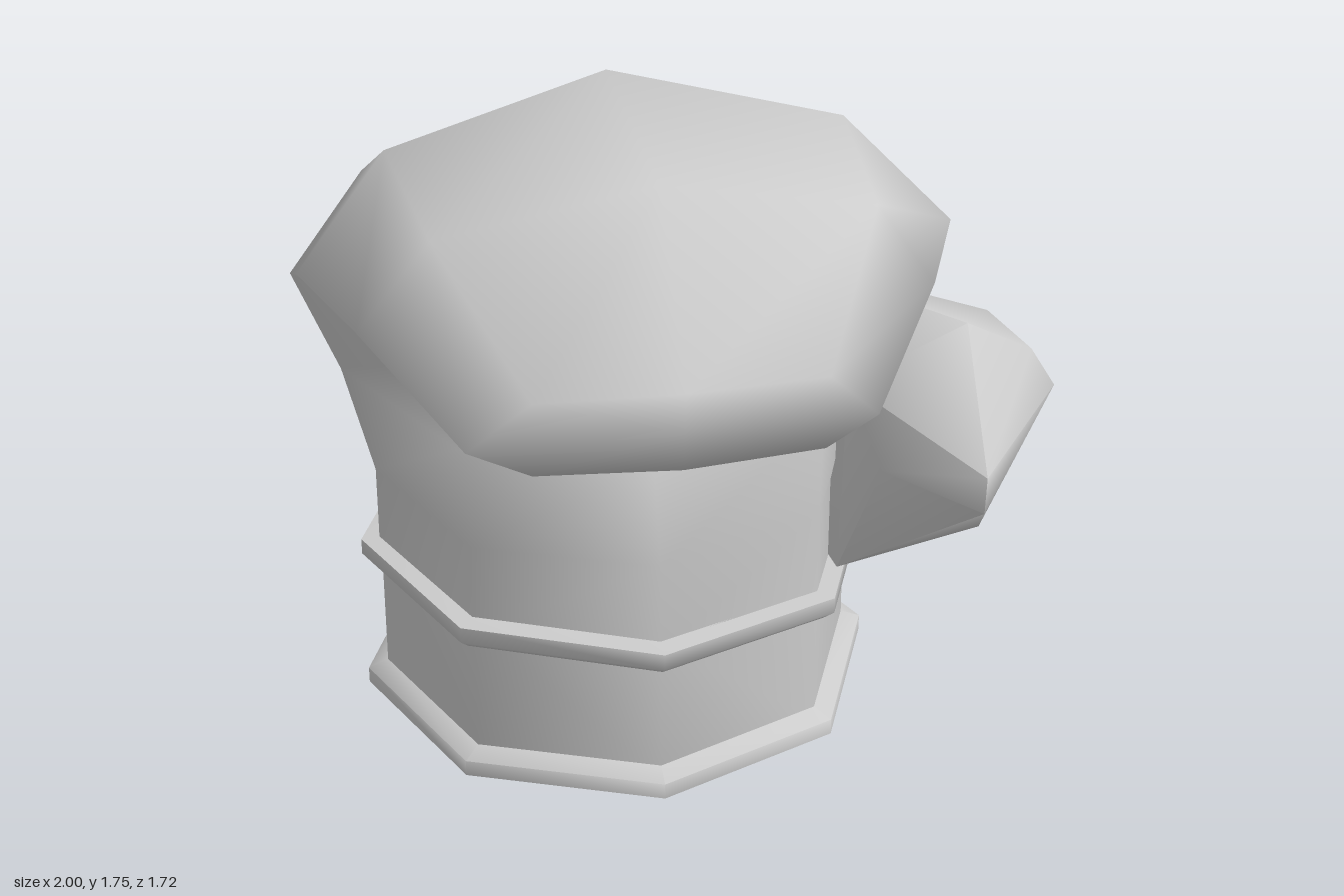
import * as THREE from 'three';
import { mergeVertices, toCreasedNormals } from 'three/addons/utils/BufferGeometryUtils.js';
import { ConvexGeometry } from 'three/addons/geometries/ConvexGeometry.js';

const CX = -0.14, CZ = -0.12; // axis of the cuff
const material = new THREE.MeshStandardMaterial({ color: 0xcccccc, side: THREE.DoubleSide });

function addMesh(group, name, geometry) {
  const mesh = new THREE.Mesh(geometry, material);
  mesh.name = name;
  group.add(mesh);
}

// Eight-sided ring or wall; dip lowers the corner beneath the thumb
function octagon(profile, dip = 0) {
  const geo = new THREE.LatheGeometry(profile.map(([r, y]) => new THREE.Vector2(r, y)), 8);
  const p = geo.attributes.position;
  for (let i = 0; i < p.count; i++) {
    const facing = Math.cos(Math.atan2(p.getZ(i), p.getX(i)) - Math.PI / 4);
    p.setY(i, p.getY(i) - dip * Math.max(0, facing) ** 2);
  }
  geo.translate(CX, 0, CZ);
  return toCreasedNormals(geo, 1.25);
}

// Loft of mirrored half-sections: back, back diagonal, side, palm diagonal, palm
function loft(sections, tip) {
  const pos = [], index = [], last = (sections.length - 1) * 8;
  for (const s of sections) {
    for (let i = 0; i < 8; i++) {
      const [w, y, z] = s[i <= 4 ? i : 8 - i];
      pos.push(CX + (i <= 4 ? w : -w), y, z);
    }
  }
  pos.push(...tip);
  for (let i = 0; i < 8; i++) {
    const n = (i + 1) % 8;
    for (let k = 0; k < last; k += 8) {
      index.push(k + i, k + 8 + i, k + n, k + n, k + 8 + i, k + 8 + n);
    }
    index.push(last + 8, last + n, last + i);
  }
  const geo = new THREE.BufferGeometry();
  geo.setAttribute('position', new THREE.Float32BufferAttribute(pos, 3));
  geo.setIndex(index);
  geo.computeVertexNormals();
  return geo;
}

export function createModel() {
  const group = new THREE.Group();
  group.name = 'glove';

  // Cuff wall and its two trims
  addMesh(group, 'cuff', octagon([[0.655, 0.03], [0.655, 0.45]]));
  addMesh(group, 'bottomTrim', octagon([[0, 0], [0.71, 0], [0.71, 0.045], [0.65, 0.07]]));
  addMesh(group, 'upperTrim', octagon(
    [[0.64, 0.39], [0.68, 0.395], [0.71, 0.42], [0.71, 0.465], [0.64, 0.47]], 0.03));

  // Hand, curling from the wrist over the knuckles to the fingertips
  const wrist = y => [[0, y, -0.77], [0.465, y, -0.58], [0.66, y, -0.12], [0.465, y, 0.34], [0, y, 0.53]];
  addMesh(group, 'hand', loft([
    wrist(0.42),
    wrist(0.68),
    [[0, 0.98, -0.86], [0.52, 0.98, -0.65], [0.735, 0.98, -0.15], [0.48, 0.95, 0.3], [0, 0.93, 0.45]],
    [[0, 1.54, -0.67], [0.63, 1.42, -0.44], [0.855, 1.3, -0.09], [0.52, 1.14, 0.17], [0, 1.12, 0.27]],
    [[0, 1.755, -0.2], [0.6, 1.64, -0.05], [0.85, 1.4, 0.13], [0.5, 1.17, 0.24], [0, 1.13, 0.32]],
    [[0, 1.745, 0.54], [0.55, 1.63, 0.5], [0.73, 1.36, 0.41], [0.36, 1.08, 0.5], [0, 1.03, 0.58]],
    [[0, 1.35, 0.86], [0.36, 1.34, 0.82], [0.51, 1.17, 0.72], [0.36, 1.13, 0.79], [0, 1.13, 0.83]],
  ], [CX, 1.24, 0.85]));

  // Thumb: tip corners first, then its roots on the palm, wrist and back of the hand
  const thumb = new ConvexGeometry([
    [0.41, 1.02, 0.27], [0.73, 1.16, 0.26], [0.85, 1.085, 0.05], [0.94, 1.02, 0.17], [1, 0.92, 0.2],
    [0.96, 0.73, -0.04], [0.7, 0.88, 0.59], [0.7, 0.77, 0.58], [0.75, 0.615, 0.385],
    [0.48, 0.81, 0.38], [0.4, 0.45, 0.25], [0.515, 0.45, -0.12],
    [0.32, 0.45, -0.57], [0.325, 0.68, -0.58], [0.38, 0.98, -0.65],
  ].map(p => new THREE.Vector3(...p)));
  thumb.deleteAttribute('normal');
  addMesh(group, 'thumb', toCreasedNormals(mergeVertices(thumb), 1.1));

  return group;
}
